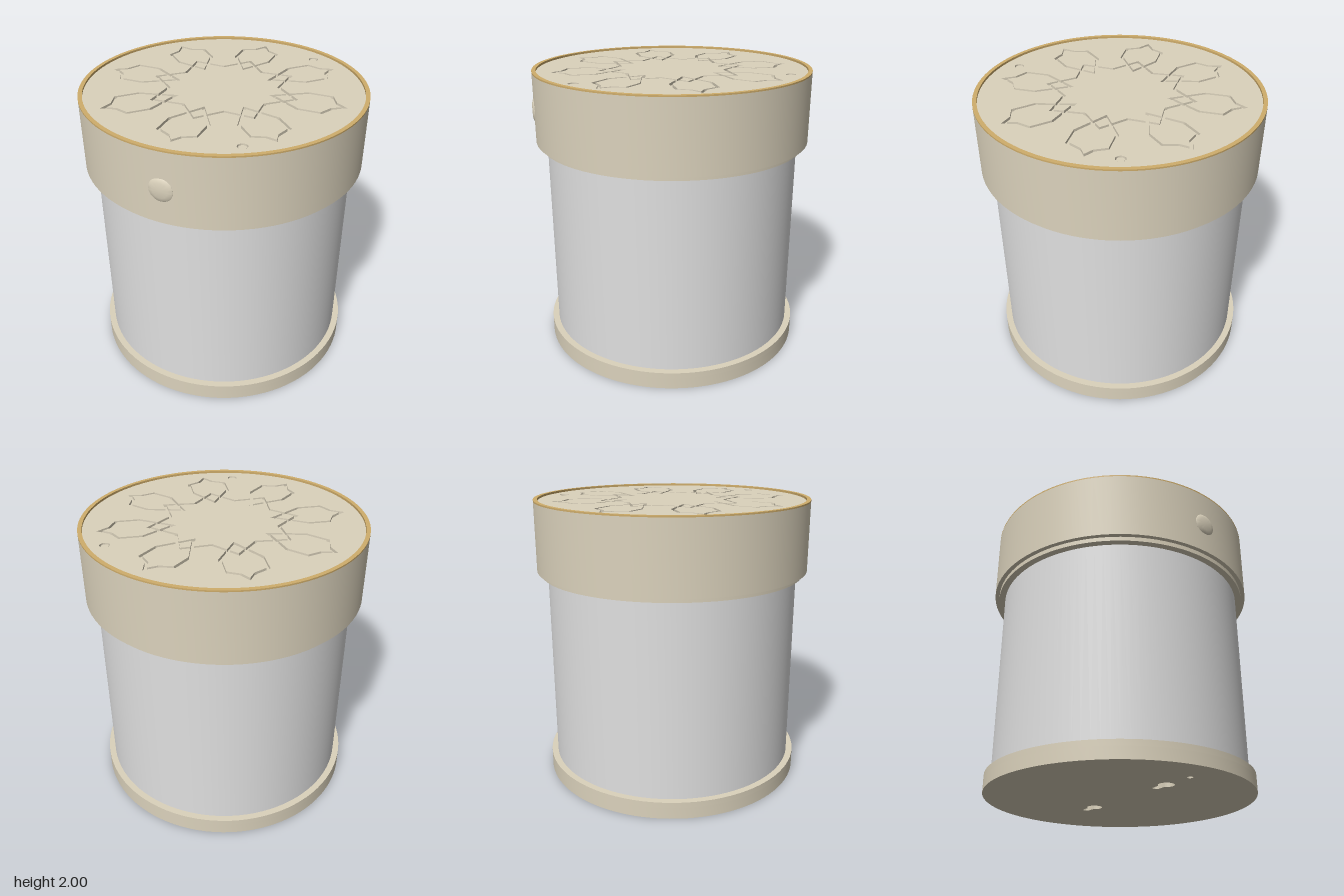
import * as THREE from 'three';
import { toCreasedNormals } from 'three/addons/utils/BufferGeometryUtils.js';

const SEG = 96;
const V = (x, y) => new THREE.Vector2(x, y);

// Inset (d > 0) or outset (d < 0) a polygon with mitred corners
function offset(points, d) {
  const p = THREE.ShapeUtils.isClockWise(points) ? [...points].reverse() : points;
  return p.map((b, i) => {
    const a = p[(i + p.length - 1) % p.length], c = p[(i + 1) % p.length];
    const u = b.clone().sub(a).normalize(), v = c.clone().sub(b).normalize();
    const n1 = V(-u.y, u.x), n2 = V(-v.y, v.x);
    const m = n1.clone().add(n2).normalize();
    return b.clone().addScaledVector(m, d / m.dot(n1));
  });
}

const rotated = (points, k) => points.map(p => p.clone().rotateAround(V(0, 0), -k * Math.PI / 4));

function circle(r, x = 0, y = 0, Type = THREE.Path) {
  const c = new Type();
  c.absarc(x, y, r, 0, Math.PI * 2);
  return c;
}

// Flat plate lying in the xz plane, from y0 to y1 (shape y = -z)
function plate(shapes, y0, y1) {
  const g = new THREE.ExtrudeGeometry(shapes, { depth: y1 - y0, bevelEnabled: false, curveSegments: SEG / 2 });
  g.rotateX(-Math.PI / 2).translate(0, y0, 0);
  return toCreasedNormals(g, 0.5);
}

const lathe = (pts, seg = SEG) =>
  toCreasedNormals(new THREE.LatheGeometry(pts.map(([r, y]) => V(r, y)), seg), 0.4);

export function createModel() {
  const group = new THREE.Group();
  const material = (name, color) => Object.assign(new THREE.MeshStandardMaterial({ color }), { name });
  const beige = material('warm beige', 0xdbd2bc);
  const grey = material('light grey', 0xe0e0e0);
  const brass = material('brass', 0xcfad6b);
  const add = (name, geometry, mat) => {
    const mesh = new THREE.Mesh(geometry, mat);
    mesh.name = name;
    group.add(mesh);
    return mesh;
  };

  // Base with two hanging keyholes and a pin hole underneath
  const foot = circle(0.93, 0, 0, THREE.Shape);
  for (const z of [-0.3, 0.48]) {
    const R = 0.055, w = 0.025, a = Math.asin(w / R);
    const key = new THREE.Path();
    key.absarc(0, -z, R, Math.PI / 2 + a, Math.PI * 2.5 - a, false);
    key.absarc(0, -z + 0.1, w, 0, Math.PI, false);
    foot.holes.push(key);
  }
  foot.holes.push(circle(0.02, 0, -0.7));
  add('baseUnderside', plate(foot, 0, 0.08), beige);
  add('baseTop', lathe([[0, 0.08], [0.93, 0.08], [0.93, 0.12], [0, 0.12]]), beige);

  // Body
  add('body', lathe([[0.885, 0.12], [0.885, 1.48]]), grey);

  // Lid wall with a stepped lower edge, and the floor beneath the engraving
  add('lid', lathe([[0.88, 1.48], [0.93, 1.48], [0.93, 1.51], [0.96, 1.51], [0.96, 1.99]]), beige);
  add('grooveFloor', lathe([[0.94, 1.967], [0, 1.967]]), beige);
  add('rim', lathe([[0.96, 1.99], [0.96, 2], [0.932, 2], [0.932, 1.96]]), brass);

  // Engraved rosette: eight petals crossing an eight-pointed star
  const W = 0.011;
  const right = [V(0.058, 0.434), V(0.13, 0.55), V(0.13, 0.705), V(0.045, 0.75)];
  const tip = V(0, 0.82), starTip = V(0, 0.5), petalFoot = V(0, 0.34), valley = V(0.141, 0.34);
  const left = right.map(p => V(-p.x, p.y)).reverse();
  const petal = [...left].reverse().concat(tip, [...right].reverse());
  const diamond = [starTip, right[0], petalFoot, left[3]];
  const outline = [], centre = [], islands = [];
  for (let k = 0; k < 8; k++) {
    outline.push(...rotated([...petal, valley], k));
    centre.push(...rotated([left[3], petalFoot, right[0], valley], k));
    islands.push(rotated([...petal, starTip], k), rotated(diamond, k));
  }
  islands.push(centre);
  const top = circle(0.932, 0, 0, THREE.Shape);
  top.holes.push(new THREE.Path(offset(outline, -W)));
  for (const s of [-1, 1]) top.holes.push(circle(0.033, 0.41, s * 0.715));
  add('lidTop', plate(top, 1.967, 1.985), beige);
  add('rosetteInlays', plate(islands.map(p => new THREE.Shape(offset(p, W))), 1.967, 1.985), beige);

  // Low domed studs in the two small top holes
  for (const s of [-1, 1]) {
    const stud = add('topStud', lathe([[0.025, 0], [0.025, 0.012], [0, 0.012]], 32), beige);
    stud.position.set(0.41, 1.967, s * 0.715);
  }

  // Front button
  const button = add('frontButton',
    lathe([[0.08, 0.9], [0.08, 0.958], [0.073, 0.963], [0.05, 0.97], [0, 0.972]], 48), beige);
  button.rotation.x = Math.PI / 2;
  button.position.y = 1.735;

  return group;
}
